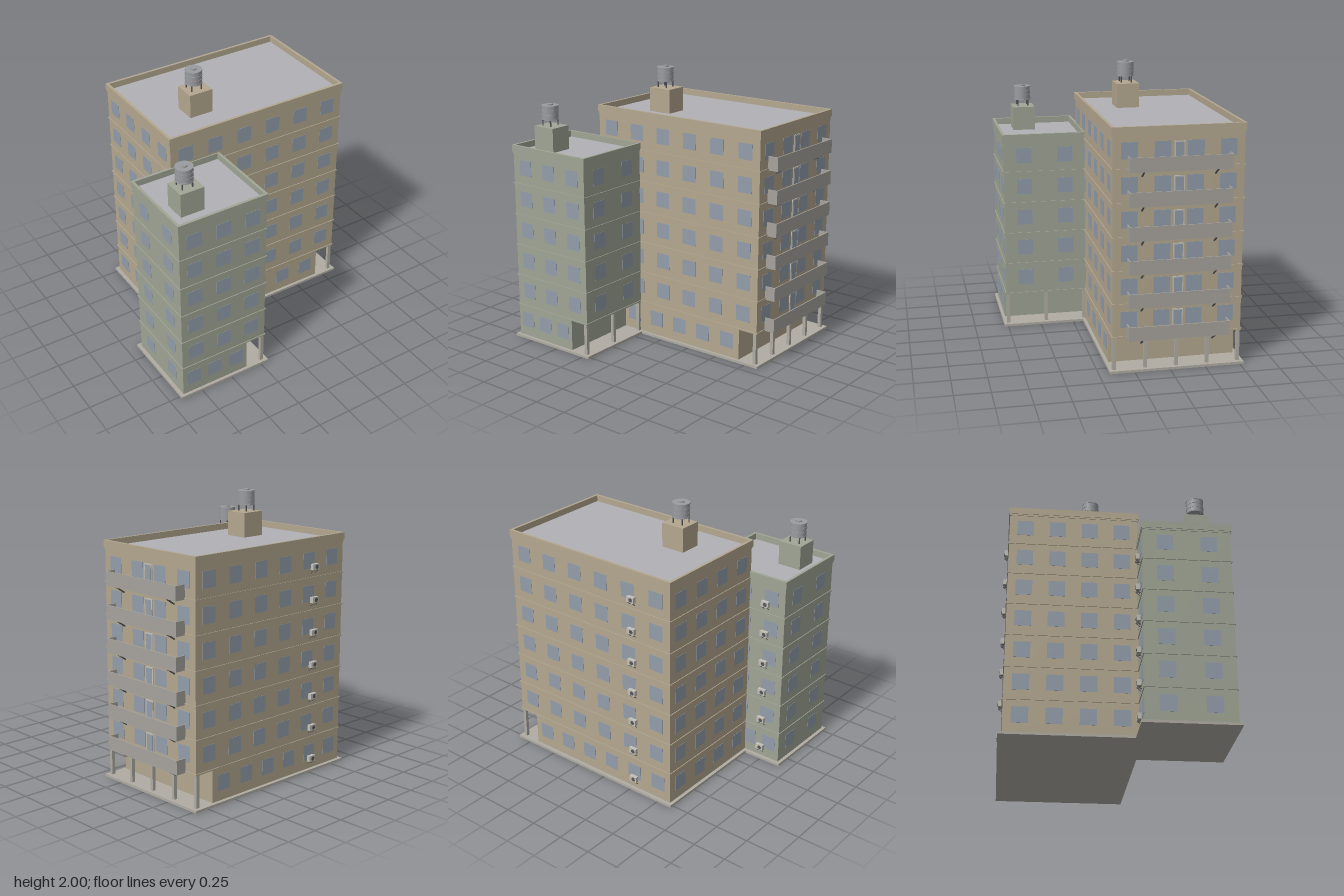
import * as THREE from 'three';

const mat = (color, extra = {}) => new THREE.MeshStandardMaterial({ color, ...extra });
const M = {
  tan: mat(0xb3a78f), green: mat(0xa0a595), glass: mat(0x929daa), deck: mat(0xb0b0b6),
  stone: mat(0xb0aca2), frame: mat(0xc2c0b8), metal: mat(0x9a9ca0), dark: mat(0x55565a),
  balcony: mat(0xa6a39d),
};
const BASE = 0.018, FIRST = 0.255, FLOOR = 0.2345, ARCADE = 0.15;

// Box given by its min and max corners
function box(parent, name, material, x0, x1, y0, y1, z0, z1) {
  const m = new THREE.Mesh(new THREE.BoxGeometry(x1 - x0, y1 - y0, z1 - z0), material);
  m.position.set((x0 + x1) / 2, (y0 + y1) / 2, (z0 + z1) / 2);
  m.name = name;
  parent.add(m);
  return m;
}

function cyl(parent, name, material, r, y0, y1, x, z, sides = 16) {
  const m = new THREE.Mesh(new THREE.CylinderGeometry(r, r, y1 - y0, sides), material);
  m.position.set(x, (y0 + y1) / 2, z);
  m.name = name;
  parent.add(m);
}

// Thin bar between two points
function strut(parent, name, a, b, t) {
  const m = new THREE.Mesh(new THREE.BoxGeometry(t, t, a.distanceTo(b)), M.dark);
  m.position.copy(a).lerp(b, 0.5);
  m.lookAt(b);
  m.name = name;
  parent.add(m);
}

// Rectangular wall ring, open in the middle
function ring(parent, name, material, x0, x1, y0, y1, z0, z1, t) {
  const s = new THREE.Shape();
  s.moveTo(x0, -z1).lineTo(x1, -z1).lineTo(x1, -z0).lineTo(x0, -z0).closePath();
  const h = new THREE.Path();
  h.moveTo(x0 + t, -z1 + t).lineTo(x0 + t, -z0 - t).lineTo(x1 - t, -z0 - t).lineTo(x1 - t, -z1 + t).closePath();
  s.holes.push(h);
  const g = new THREE.ExtrudeGeometry(s, { depth: y1 - y0, bevelEnabled: false });
  const m = new THREE.Mesh(g.rotateX(-Math.PI / 2).translate(0, y0, 0), material);
  m.name = name;
  parent.add(m);
}

// Evenly spaced bay centres along a wall
const bays = (a, b, n) => Array.from({ length: n }, (_, i) => a + (b - a) * (i + 0.5) / n);

// Roof water tank on four legs
function waterTank(parent, x, y, z) {
  const g = new THREE.Group();
  g.name = 'waterTank';
  for (const sx of [-1, 1]) for (const sz of [-1, 1])
    cyl(g, 'tankLeg', M.dark, 0.005, 0, 0.05, sx * 0.038, sz * 0.038, 6);
  cyl(g, 'tankBody', M.metal, 0.06, 0.045, 0.15, 0, 0);
  for (const h of [0.05, 0.082, 0.114, 0.146]) cyl(g, 'tankHoop', M.metal, 0.063, h - 0.004, h + 0.004, 0, 0);
  cyl(g, 'tankHatch', M.metal, 0.022, 0.15, 0.16, 0, 0);
  g.position.set(x, y, z);
  parent.add(g);
}

// Air conditioner on a back wall
function airConditioner(parent, x, y, z) {
  const g = new THREE.Group();
  g.name = 'airConditioner';
  box(g, 'unitCase', M.frame, -0.03, 0.03, 0, 0.042, -0.032, -0.006);
  for (const s of [-0.02, 0.02]) {
    box(g, 'unitShelf', M.dark, s - 0.002, s + 0.002, -0.005, 0, -0.03, 0);
    strut(g, 'unitBrace', new THREE.Vector3(s, -0.025, 0), new THREE.Vector3(s, -0.003, -0.027), 0.004);
  }
  const fan = new THREE.Mesh(new THREE.CylinderGeometry(0.015, 0.015, 0.002, 16), M.dark);
  fan.rotation.x = Math.PI / 2;
  fan.position.set(-0.006, 0.021, -0.0325);
  fan.name = 'unitFan';
  g.add(fan);
  g.position.set(x, y, z);
  parent.add(g);
}

function tower(name, material, o) {
  const g = new THREE.Group();
  g.name = name;
  const { x0, x1, z0, z1, floors } = o;
  const top = FIRST + FLOOR * floors;

  // Base slab, set-back ground floor and main body
  box(g, 'baseSlab', M.stone, x0 - 0.025, x1 + 0.025, 0, BASE, z0 - 0.027, z1 + 0.022);
  box(g, 'groundFloor', material, x0, x1 - ARCADE, BASE, FIRST, z0, z1);
  box(g, 'upperFloors', material, x0, x1, FIRST, top, z0, z1);

  // Arcade columns
  for (let i = 0; i <= o.columns; i++) {
    const z = z0 + 0.012 + (z1 - z0 - 0.024) * i / o.columns;
    box(g, 'column', M.stone, x1 - 0.03, x1 - 0.004, BASE, FIRST, z - 0.012, z + 0.012);
  }

  // Floor bands
  for (let i = 0; i < floors; i++) {
    const y = FIRST + FLOOR * i;
    box(g, 'floorBand', material, x0 - 0.006, x1 + 0.006, y - 0.005, y + 0.005, z0 - 0.006, z1 + 0.006);
  }

  // Roof deck, cornice and parapet
  box(g, 'roofDeck', M.deck, x0, x1, top - 0.004, top + 0.004, z0, z1);
  ring(g, 'cornice', material, x0 - 0.004, x1 + 0.004, top - 0.012, top, z0 - 0.004, z1 + 0.004, 0.012);
  ring(g, 'parapet', material, x0 - 0.008, x1 + 0.008, top, top + 0.05, z0 - 0.008, z1 + 0.008, 0.02);

  // Windows on all four walls
  const w = 0.057, d = 0.002;
  for (let i = 0; i <= floors; i++) {
    const y = 0.145 + FLOOR * i, xe = i ? x1 : x1 - ARCADE;
    for (const x of bays(x0, xe, o.nx)) {
      box(g, 'frontWindow', M.glass, x - w, x + w, y - w, y + w, z1 - 0.01, z1 + d);
      box(g, 'backWindow', M.glass, x - w, x + w, y - w, y + w, z0 - d, z0 + 0.01);
    }
    for (const z of bays(z0, z1, o.nz)) {
      box(g, 'rightWindow', M.glass, x0 - d, x0 + 0.01, y - w, y + w, z - w, z + w);
      if (i) box(g, 'leftWindow', M.glass, x1 - 0.01, x1 + d, y - w, y + w, z - w, z + w);
    }
    airConditioner(g, o.acX, 0.078 + FLOOR * i, z0);
  }

  // Stair house and tank
  const [px, pz] = o.house;
  box(g, 'stairHouse', material, px - 0.09, px + 0.09, top, top + 0.18, pz - 0.083, pz + 0.083);
  waterTank(g, px - 0.01, top + 0.18, pz);
  return g;
}

// Long balcony with open top, door and two braces
function balcony(y) {
  const g = new THREE.Group();
  g.name = 'balcony';
  const x0 = 0.838, x1 = 0.917, z0 = -0.652, z1 = 0.055, t = 0.008, h = 0.1;
  box(g, 'balconyFloor', M.balcony, x0, x1, 0, 0.012, z0, z1);
  box(g, 'balconyFront', M.balcony, x1 - t, x1, 0.012, h, z0, z1);
  for (const z of [z0, z1 - t]) box(g, 'balconySide', M.balcony, x0, x1 - t, 0.012, h, z, z + t);
  for (const z of [-0.045, -0.55])
    strut(g, 'balconyBrace', new THREE.Vector3(x0, -0.045, z), new THREE.Vector3(0.908, 0.002, z), 0.009);
  box(g, 'doorFrame', M.frame, x0, 0.844, 0.012, 0.188, -0.337, -0.263);
  box(g, 'balconyDoor', M.glass, x0, 0.846, 0.012, 0.18, -0.329, -0.271);
  g.position.y = y;
  return g;
}

export function createModel() {
  const model = new THREE.Group();
  model.name = 'apartmentBuilding';
  const tall = tower('tallBlock', M.tan, {
    x0: -0.595, x1: 0.838, z0: -0.752, z1: 0.153, floors: 6, columns: 4, nx: 6, nz: 4,
    acX: -0.28, house: [-0.207, -0.157],
  });
  for (let i = 0; i < 6; i++) tall.add(balcony(0.247 + FLOOR * i));
  const short = tower('shortBlock', M.green, {
    x0: -0.892, x1: -0.214, z0: 0.15, z1: 0.757, floors: 5, columns: 2, nx: 3, nz: 2,
    acX: -0.74, house: [-0.708, 0.548],
  });
  model.add(tall, short);
  return model;
}
